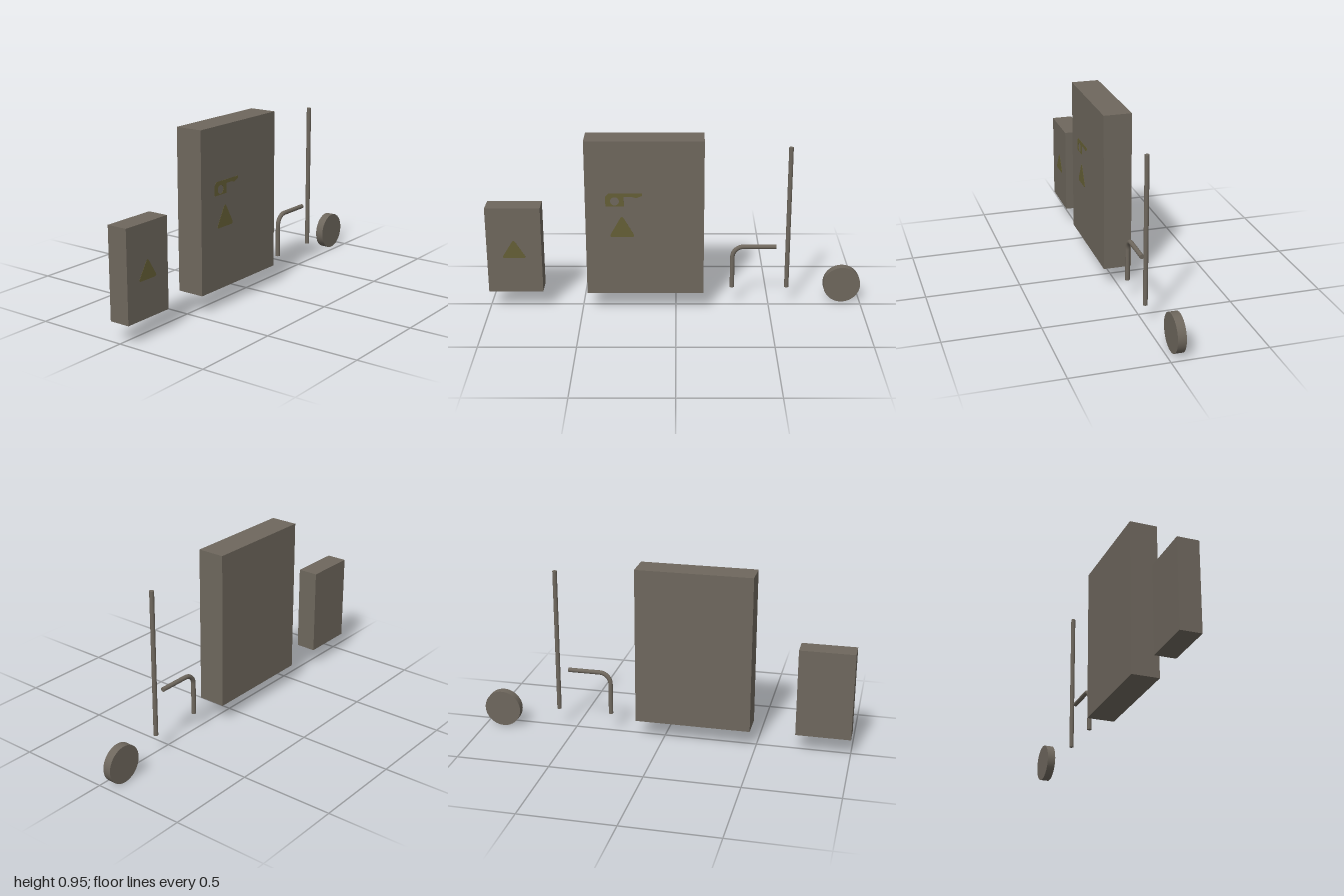
import * as THREE from 'three';

export function createModel() {
  const group = new THREE.Group();
  const metal = new THREE.MeshStandardMaterial({ name: 'grey metal', color: 0x6e675d });
  const label = new THREE.MeshStandardMaterial({ name: 'olive label', color: 0x655f36 });
  const baseY = 0.102;

  function add(name, geometry, material, x = 0, y = 0, z = 0) {
    const mesh = new THREE.Mesh(geometry, material);
    mesh.name = name;
    mesh.position.set(x, y, z);
    group.add(mesh);
    return mesh;
  }

  // Cabinet standing on the common base line
  function cabinet(name, x0, x1, top, z0, z1) {
    add(name, new THREE.BoxGeometry(x1 - x0, top - baseY, z1 - z0), metal,
      (x0 + x1) / 2, (baseY + top) / 2, (z0 + z1) / 2);
  }
  cabinet('smallCabinet', -1, -0.71, 0.577, -0.055, 0.057);
  cabinet('largeCabinet', -0.472, 0.147, 0.95, -0.073, 0.076);

  // Thin plate lying on a cabinet front
  function plate(name, shape, x, y, z) {
    const geometry = new THREE.ExtrudeGeometry(shape, { depth: 0.001, bevelEnabled: false, curveSegments: 10 });
    add(name, geometry, label, x, y, z);
  }

  // Warning triangle with rounded corners, centred on x, standing on y = 0
  function triangle(width, height) {
    const corners = [[-width / 2, 0], [width / 2, 0], [0, height * 1.06]].map(p => new THREE.Vector2(...p));
    const shape = new THREE.Shape();
    corners.forEach((c, i) => {
      const start = c.clone().lerp(corners[(i + 2) % 3], 0.15);
      const end = c.clone().lerp(corners[(i + 1) % 3], 0.15);
      if (i === 0) shape.moveTo(start.x, start.y);
      else shape.lineTo(start.x, start.y);
      shape.quadraticCurveTo(c.x, c.y, end.x, end.y);
    });
    return shape;
  }
  plate('smallWarningTriangle', triangle(0.132, 0.1), -0.856, 0.296, 0.057);
  plate('largeWarningTriangle', triangle(0.138, 0.115), -0.281, 0.425, 0.076);

  // Handle mark: a bar with a pierced square grip
  const handle = new THREE.Shape();
  [[-0.366, 0.597], [-0.27, 0.597], [-0.27, 0.648], [-0.225, 0.648], [-0.205, 0.643],
    [-0.174, 0.655], [-0.174, 0.668], [-0.35, 0.668], [-0.366, 0.65]]
    .forEach(([x, y], i) => (i ? handle.lineTo(x, y) : handle.moveTo(x, y)));
  handle.holes.push(new THREE.Path().absarc(-0.318, 0.625, 0.023, 0, Math.PI * 2, true));
  plate('handleMark', handle, 0, 0, 0.076);

  // Straight conduit
  const pipeRadius = 0.012, pipeZ = -0.005;
  add('straightPipe', new THREE.CylinderGeometry(pipeRadius, pipeRadius, 0.892 - baseY, 24), metal,
    0.596, (0.892 + baseY) / 2, pipeZ);

  // Bent conduit with closed ends
  const x = 0.302, y = 0.336, bend = 0.06, endX = 0.536;
  const v = (a, b) => new THREE.Vector3(a, b, pipeZ);
  const arc = [];
  for (let i = 0; i <= 12; i++) {
    const a = Math.PI - (i / 12) * Math.PI / 2;
    arc.push(v(x + bend + bend * Math.cos(a), y - bend + bend * Math.sin(a)));
  }
  const path = new THREE.CurvePath();
  path.add(new THREE.LineCurve3(v(x, baseY), arc[0]));
  path.add(new THREE.CatmullRomCurve3(arc));
  path.add(new THREE.LineCurve3(arc[12], v(endX, y)));
  add('bentPipe', new THREE.TubeGeometry(path, 64, pipeRadius, 20), metal);
  const cap = new THREE.CircleGeometry(pipeRadius, 20);
  add('bentPipeLowerCap', cap, metal, x, baseY, pipeZ).rotation.x = Math.PI / 2;
  add('bentPipeUpperCap', cap, metal, endX, y, pipeZ).rotation.y = Math.PI / 2;

  // Round cover
  add('roundCover', new THREE.CylinderGeometry(0.1, 0.1, 0.044, 48), metal, 0.9, 0.1, -0.054)
    .rotation.x = Math.PI / 2;

  return group;
}
